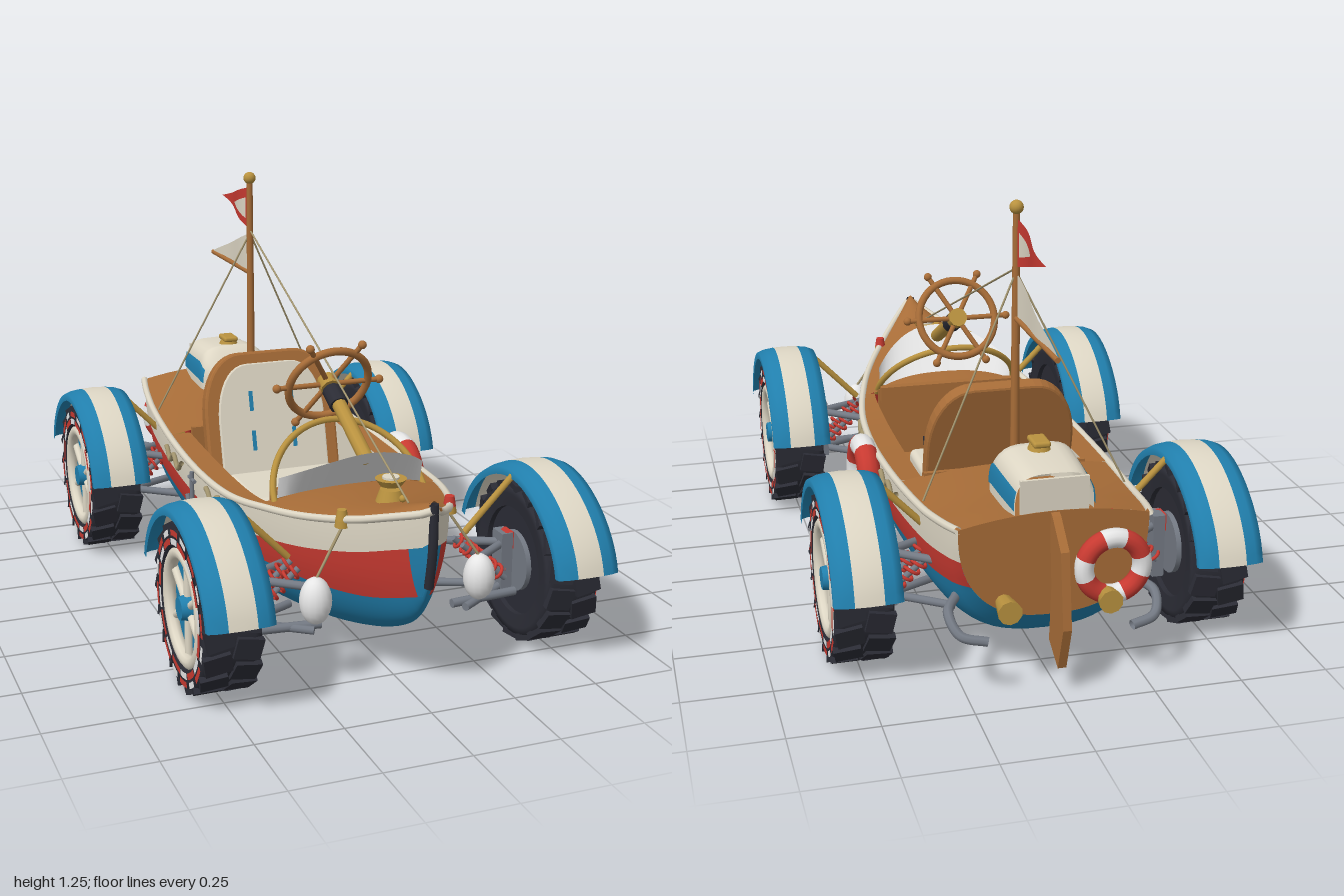
import * as THREE from 'three';
import { mergeGeometries } from 'three/addons/utils/BufferGeometryUtils.js';
import { RoundedBoxGeometry } from 'three/addons/geometries/RoundedBoxGeometry.js';

const mat = (name, color) => Object.assign(new THREE.MeshStandardMaterial({ color, side: THREE.DoubleSide }), { name });
const V = (x, y, z) => new THREE.Vector3(x, y, z);

export function createModel() {
  const root = new THREE.Group();
  root.name = 'boatCar';
  const wood = mat('wood', 0xa86d38), cream = mat('cream', 0xded7c5), blue = mat('blue', 0x2180ae), red = mat('red', 0xc83a31),
    dark = mat('rubber', 0x2b2c35), gold = mat('brass', 0xb9923f), steel = mat('steel', 0x747a84), white = mat('white', 0xe6e6e6),
    rope = mat('rope', 0xa2946e);

  const add = (name, geo, m, pos = [0, 0, 0], parent = root) => {
    const mesh = new THREE.Mesh(geo, m);
    mesh.name = name;
    mesh.position.set(...pos);
    parent.add(mesh);
    return mesh;
  };
  const rod = (name, m, a, b, r = 0.01, parent = root, r2 = r) => {
    const A = V(...a), B = V(...b), d = B.clone().sub(A);
    const mesh = add(name, new THREE.CylinderGeometry(r2, r, d.length(), 10), m, A.clone().add(B).multiplyScalar(0.5).toArray(), parent);
    mesh.quaternion.setFromUnitVectors(V(0, 1, 0), d.normalize());
    return mesh;
  };
  const tube = (name, m, pts, r = 0.01, seg = 32) =>
    add(name, new THREE.TubeGeometry(new THREE.CatmullRomCurve3(pts.map(p => V(...p))), seg, r, 8), m);
  const cyl = (r1, r2, h, n = 20) => new THREE.CylinderGeometry(r1, r2, h, n);
  const box = (x, y, z) => new THREE.BoxGeometry(x, y, z);
  const ball = r => new THREE.SphereGeometry(r, 16, 12);
  // Surface from a rule over two parameters from 0 to 1
  const grid = (nu, nv, fn) => {
    const pos = [], idx = [];
    for (let i = 0; i <= nu; i++) for (let j = 0; j <= nv; j++) {
      pos.push(...fn(i / nu, j / nv));
      if (i < nu && j < nv) {
        const a = i * (nv + 1) + j, b = a + nv + 1;
        idx.push(a, b, a + 1, b, b + 1, a + 1);
      }
    }
    const g = new THREE.BufferGeometry();
    g.setAttribute('position', new THREE.Float32BufferAttribute(pos, 3));
    g.setIndex(idx);
    g.computeVertexNormals();
    return g;
  };

  // Hull stations: z, half width, sheer height, keel height, fullness
  const stations = [[-.87, .265, .47, .2, 2.5], [-.78, .283, .455, .115, 2.7], [-.6, .305, .43, .075, 2.8], [-.3, .325, .41, .06, 2.8],
    [0, .33, .4, .06, 2.8], [.25, .315, .405, .06, 2.7], [.45, .275, .43, .075, 2.5], [.62, .22, .455, .105, 2.3], [.78, .145, .49, .16, 2.1],
    [.9, .075, .53, .24, 1.8], [.97, .03, .555, .36, 1.5], [.995, .008, .57, .48, 1.2]];
  const spline = f => new THREE.CatmullRomCurve3(stations.map(f), false, 'catmullrom', 0.5);
  const sheerLine = spline(s => V(s[0], s[1], s[2])), keelLine = spline(s => V(s[3], s[4], 0));
  const at = u => {
    const a = sheerLine.getPoint(u), b = keelLine.getPoint(u);
    return { z: a.x, w: a.y, s: a.z, k: b.x, p: b.y };
  };
  const atZ = z => {
    let lo = 0, hi = 1;
    for (let i = 0; i < 24; i++) { const m = (lo + hi) / 2; if (sheerLine.getPoint(m).x < z) lo = m; else hi = m; }
    return at(hi);
  };
  const skin = (h, t) => [h.w * Math.pow(1 - Math.pow(1 - Math.min(t, 1), h.p), 1 / h.p), h.k + (h.s - h.k) * t, h.z];
  // The red stripe deepens towards the bow
  const levels = h => {
    const f = d => (h.s - d - h.k) / (h.s - h.k);
    return [0, Math.max(f(.168 + .065 * THREE.MathUtils.smoothstep(h.z, .35, .9)), .03), Math.max(f(.093), .06), 1];
  };
  const deckY = (h, x) => h.s + .03 * (1 - (x / h.w) ** 2);
  const bands = [['hullBottom', blue, 12, 0, -.87, .995], ['hullStripe', red, 4, 1, -.87, .935],
    ['bowPatch', blue, 4, 1, .935, .995], ['hullTop', cream, 4, 2, -.87, .995]];

  for (const side of [1, -1]) {
    for (const [name, m, n, i, z0, z1] of bands)
      add(name, grid(70, n, (u, v) => {
        const h = atZ(z0 + (z1 - z0) * (side > 0 ? 1 - u : u)), l = levels(h);
        const p = skin(h, l[i] + (l[i + 1] - l[i]) * (i ? v : v * v));
        return [p[0] * side, p[1], p[2]];
      }), m);
    // Gunwale, side decks and cockpit lining
    tube('gunwale', cream, Array.from({ length: 25 }, (_, i) => { const h = at(i / 24); return [side * h.w, h.s, h.z]; }), .011, 60);
    const inner = h => Math.min(.25, h.w - .04);
    const strip = f => grid(20, 1, (u, v) => f(atZ(-.36 + .76 * u), v));
    add('sideDeck', strip((h, v) => [side * (inner(h) + (h.w - inner(h)) * v), h.s + .004, h.z]), wood);
    add('cockpitLining', strip((h, v) => [side * inner(h), .2 + (h.s - .196) * v, h.z]), cream);
    // Rope swags and porthole
    for (const z0 of [.28, -.17])
      tube('ropeSwag', rope, Array.from({ length: 13 }, (_, i) => {
        const z = z0 - i * .0165;
        return [side * (atZ(z).w + .008), .362 + .016 * Math.cos(i * 1.05), z];
      }), .008);
    const port = add('porthole', new THREE.TorusGeometry(.03, .009, 8, 24), gold, [side * .298, .28, .36]);
    port.rotation.y = Math.PI / 2;
    rod('portholeGlass', white, [side * .28, .28, .36], [side * .302, .28, .36], .027);
  }
  const deck = (name, z0, z1) => add(name, grid(24, 10, (u, v) => {
    const h = atZ(z0 + (z1 - z0) * u), x = h.w * (v * 2 - 1);
    return [x, deckY(h, x), h.z];
  }), wood);
  deck('foreDeck', .4, .985);
  deck('rearDeck', -.87, -.36);
  const stern = at(0), edge = Array.from({ length: 17 }, (_, i) => skin(stern, (i / 16) ** 2));
  add('transom', new THREE.ShapeGeometry(new THREE.Shape([...edge, ...edge.map(p => [-p[0], p[1]]).reverse()].map(p => new THREE.Vector2(p[0], p[1])))), wood, [0, 0, -.87]);
  add('transomTop', grid(12, 1, (u, v) => { const x = stern.w * (2 * u - 1); return [x, stern.s + (deckY(stern, x) - stern.s) * v, -.87]; }), wood);
  tube('stem', dark, [[0, .345, .965], [0, .46, .984], [0, .585, .986]], .0135);

  // Cockpit
  add('cockpitFloor', box(.49, .02, .76), wood, [0, .2, .02]);
  add('frontBulkhead', box(.47, .24, .015), wood, [0, .32, .4]);
  add('rearBulkhead', box(.49, .23, .015), wood, [0, .32, -.36]);
  add('dashboard', box(.46, .05, .03), wood, [0, .43, .38]);
  for (const x of [-.07, .07]) add('pedal', box(.045, .06, .012), dark, [x, .25, .34]).rotation.x = .5;
  add('seatCushion', new RoundedBoxGeometry(.38, .12, .28, 3, .02), cream, [0, .27, -.02]);
  add('seatBase', box(.4, .08, .33), wood, [0, .24, -.06]);
  const back = new THREE.Group();
  back.name = 'seatBack';
  back.position.set(0, .25, -.2);
  back.rotation.x = -.25;
  root.add(back);
  const backShape = (w, y0, h) => {
    const s = new THREE.Shape();
    s.moveTo(-w, y0);
    s.lineTo(w, y0);
    s.lineTo(w, h * .55);
    s.bezierCurveTo(w, h * .82, w * .75, h, w * .42, h);
    s.lineTo(-w * .42, h);
    s.bezierCurveTo(-w * .75, h, -w, h * .82, -w, h * .55);
    return s;
  };
  const slab = (s, depth, b) => new THREE.ExtrudeGeometry(s, { depth, bevelEnabled: true, bevelSize: b, bevelThickness: b, bevelSegments: 2, curveSegments: 10 });
  add('backPanel', slab(backShape(.217, 0, .442), .03, .008), wood, [0, 0, -.04], back);
  add('backPad', slab(backShape(.178, .03, .408), .008, .004), cream, [0, 0, -.004], back);
  for (const x of [-.07, .07]) for (const y of [.16, .29]) add('seatStitch', box(.012, .065, .006), blue, [x, y, .01], back);

  // Bowed windscreen and brass hoop
  add('windscreen', grid(24, 1, (u, v) => {
    const x = 2 * u - 1, q = 1 - Math.abs(x) ** 2.5;
    return [.225 * x, v ? .505 + .095 * (1 - x * x) : .44 + .03 * q, v ? .43 + .147 * q : .415 + .035 * q];
  }), white);
  tube('brassHoop', gold, Array.from({ length: 15 }, (_, i) => {
    const a = Math.PI * i / 14, q = Math.sin(a);
    return [.235 * Math.cos(a), .42 + .19 * q, .43 - .17 * q];
  }), .01, 48);

  // Steering
  rod('steeringColumn', gold, [0, .57, .54], [0, .7, .28], .022);
  rod('steeringCollar', dark, [0, .672, .33], [0, .702, .27], .029);
  const helm = new THREE.Group();
  helm.name = 'helm';
  helm.position.set(0, .715, .245);
  helm.quaternion.setFromUnitVectors(V(0, 0, 1), V(0, .44, -.9).normalize());
  root.add(helm);
  add('helmRim', new THREE.TorusGeometry(.125, .012, 10, 40), wood, [0, 0, 0], helm);
  rod('helmHub', gold, [0, 0, -.02], [0, 0, .02], .03, helm);
  for (let i = 0; i < 6; i++) {
    const c = Math.cos(i * Math.PI / 3), s = Math.sin(i * Math.PI / 3);
    rod('helmSpoke', wood, [.02 * c, .02 * s, 0], [.163 * c, .163 * s, 0], .008, helm);
    add('helmHandle', ball(.013), wood, [.163 * c, .163 * s, 0], helm);
  }

  // Mast, stays, pennant and sail
  rod('mast', wood, [0, .42, -.465], [0, 1.22, -.465], .014, root, .01);
  add('mastBall', ball(.02), gold, [0, 1.232, -.465]);
  add('mastFoot', cyl(.03, .035, .03), gold, [0, .465, -.465]);
  rod('foreStay', rope, [0, 1.06, -.465], [0, .535, .83], .003);
  for (const s of [1, -1]) rod('sideStay', rope, [0, 1.05, -.465], [.295 * s, .44, -.58], .003);
  const flag = (name, m, x, z0, top, bottom, z1, tip, wave) => add(name, grid(16, 2, (u, v) => {
    const z = z0 + (z1 - z0) * u, y = top + (bottom - top) * v;
    return [x + wave * Math.sin((z + .47) * 22), y + (tip - y) * u, z];
  }), m);
  flag('pennant', red, 0, -.475, 1.2, 1.065, -.755, 1.135, .008);
  for (const s of [1, -1]) flag('pennantPatch', cream, .003 * s, -.49, 1.165, 1.095, -.62, 1.13, .008);
  flag('sail', cream, 0, -.48, 1.045, .92, -.87, .92, .003);
  rod('boom', wood, [0, .916, -.465], [0, .916, -.87], .008);

  // Engine pod, domed and tapered to the stern, with blue flanks
  const pod = (name, m, z0, z1, a0, a1, grow) => add(name, grid(16, 16, (u, v) => {
    const z = z0 + (z1 - z0) * u, f = (-.58 - z) / .285, a = Math.PI * (a0 + (a1 - a0) * v);
    const rise = Math.min(1, Math.pow(Math.max(f, 0) * 3.2, .5)) * (1 - .12 * f * f);
    const sq = t => Math.sign(t) * Math.pow(Math.abs(t), .55);
    return [(.122 - .012 * f * f) * Math.min(1, .6 + 2 * f) * sq(Math.cos(a)) + grow * Math.sign(Math.cos(a)), .48 + .142 * rise * sq(Math.sin(a)), z];
  }), m);
  pod('podShell', cream, -.58, -.865, 0, 1, 0);
  pod('podFlankLeft', blue, -.63, -.866, .02, .15, .003);
  pod('podFlankRight', blue, -.63, -.866, .85, .98, .003);
  add('podEnd', box(.19, .12, .01), cream, [0, .53, -.862]);
  add('podNeck', cyl(.025, .035, .025), gold, [0, .622, -.71]);
  add('podCap', new RoundedBoxGeometry(.05, .018, .075, 2, .008), gold, [0, .638, -.71]);

  // Rudder and stern fittings
  const rudder = new THREE.Shape([[.86, .5], [.885, .49], [.965, .42], [.998, .21], [.955, .08], [.87, .125], [.885, .29]].map(p => new THREE.Vector2(...p)));
  add('rudder', new THREE.ExtrudeGeometry(rudder, { depth: .024, bevelEnabled: false }), wood, [-.012, 0, 0]).rotation.y = Math.PI / 2;
  for (const s of [1, -1]) {
    rod('sternHorn', gold, [.14 * s, .25, -.86], [.14 * s, .25, -.94], .022, root, .034);
    tube('exhaust', steel, [[.25 * s, .24, -.78], [.29 * s, .23, -.86], [.27 * s, .19, -.92], [.2 * s, .175, -.94]], .014);
  }
  const lifeRing = (R, r, pos, ry) => {
    const g = new THREE.Group();
    g.name = 'lifeRing';
    g.position.set(...pos);
    g.rotation.y = ry;
    root.add(g);
    for (let i = 0; i < 8; i++) add('ringPart', new THREE.TorusGeometry(R, r, 12, 8, Math.PI * (i % 2 ? .22 : .28)), i % 2 ? white : red, [0, 0, 0], g)
      .rotation.z = Math.PI * (Math.floor(i / 2) * .5 + (i % 2 ? .28 : 0) + .11);
  };
  lifeRing(.11, .036, [.365, .297, -.037], Math.PI / 2);
  lifeRing(.082, .027, [-.16, .33, -.887], 0);

  // Anchor on the hull side
  rod('anchorShank', steel, [-.337, .26, -.06], [-.337, .385, -.06], .007);
  rod('anchorStock', steel, [-.337, .36, -.09], [-.337, .36, -.03], .006);
  tube('anchorArms', steel, [[-.337, .295, -.11], [-.337, .265, -.09], [-.337, .257, -.06], [-.337, .265, -.03], [-.337, .295, -.01]], .008);

  // Bow fittings
  add('capstanBase', cyl(.03, .042, .035), gold, [0, .52, .71]);
  add('capstanTop', cyl(.044, .03, .02), gold, [0, .558, .71]);
  add('capstanCap', cyl(.024, .024, .008), cream, [0, .57, .71]);
  add('deckEye', ball(.01), gold, [0, .535, .79]);
  for (const s of [1, -1]) {
    add('bowLampBase', cyl(.018, .02, .02), gold, [.16 * s, .472, .75]);
    add('bowLamp', cyl(.013, .018, .03), s > 0 ? red : gold, [.16 * s, .496, .75]);
    add('buoy', ball(.045), white, [.245 * s, .27, .775]).scale.y = 1.5;
    rod('buoyRope', rope, [.245 * s, .33, .775], [.16 * s, .46, .75], .004);
    rod('frontBar', steel, [.2 * s, .165, .7], [.41 * s, .165, .68], .013);
  }

  // Wheels, fenders and suspension
  const P = (x, y) => new THREE.Vector2(x, y);
  const half = [[.16, -.075], [.2, -.08], [.218, -.08], [.226, -.06]];
  const tyreGeo = new THREE.LatheGeometry([...half, ...half.slice().reverse().map(p => [p[0], -p[1]]), half[0]].map(p => P(...p)), 40);
  const lugs = [];
  for (let i = 0; i < 36; i++) {
    const lug = box(.02, .076, .062), row = i % 2 ? 1 : -1;
    lug.rotateX(row * .2);
    lug.translate(.225, row * .041, 0);
    lugs.push(lug.rotateY(i * Math.PI / 18));
  }
  const lugGeo = mergeGeometries(lugs);
  // Ring of n dashes, each filling a share of its pitch
  const dashes = (r0, r1, n, share, start) => mergeGeometries(Array.from({ length: n }, (_, i) =>
    new THREE.RingGeometry(r0, r1, 4, 1, (i + start) * 2 * Math.PI / n, share * 2 * Math.PI / n).rotateX(-Math.PI / 2)));
  const rings = [[dashes(.2, .217, 8, .4, 0), red], [dashes(.2, .217, 8, .3, .55), white],
    [dashes(.175, .193, 8, .5, .5), red], [dashes(.175, .193, 8, .4, .05), white]];
  const fenderBand = (zc, s, pts) => grid(32, pts.length - 1, (u, v) => {
    const a = THREE.MathUtils.degToRad(10 + 160 * u), [x, dr] = pts[Math.round(v * (pts.length - 1))];
    const r = .292 + .03 * Math.cos(a) ** 4 + dr;
    return [s * (.505 + x), .236 + r * Math.sin(a), zc + r * Math.cos(a)];
  });
  for (const zc of [.627, -.58]) for (const s of [1, -1]) {
    const wheel = new THREE.Group();
    wheel.name = 'wheel';
    wheel.position.set(.503 * s, .238, zc);
    wheel.rotation.z = -s * Math.PI / 2;
    root.add(wheel);
    add('tyre', tyreGeo, dark, [0, 0, 0], wheel);
    add('treadLugs', lugGeo, dark, [0, 0, 0], wheel);
    rings.forEach(([g, m]) => add('sidewallDashes', g, m, [0, .083, 0], wheel));
    add('rim', new THREE.TorusGeometry(.152, .019, 10, 36).rotateX(Math.PI / 2), cream, [0, .064, 0], wheel);
    add('rimDisc', cyl(.145, .145, .02, 32), blue, [0, .038, 0], wheel);
    add('innerDrum', cyl(.16, .16, .08, 28), dark, [0, -.02, 0], wheel);
    add('brake', cyl(.09, .09, .02, 24), steel, [0, -.065, 0], wheel);
    add('hub', cyl(.032, .04, .045), blue, [0, .06, 0], wheel);
    for (let i = 0; i < 6; i++) {
      const a = i * Math.PI / 3, c = Math.cos(a), q = Math.sin(a);
      rod('spoke', cream, [.03 * c, .055, .03 * q], [.14 * c, .055, .14 * q], .012, wheel);
    }
    const lip = [[.093, -.035], [.093, -.013], [.07, -.004], [.04, 0]];
    add('fenderOuter', fenderBand(zc, s, lip), blue);
    add('fenderStripe', fenderBand(zc, s, [[.04, 0], [0, .002], [-.04, 0]]), cream);
    add('fenderInner', fenderBand(zc, s, lip.map(p => [-p[0], p[1]])), blue);
    rod('fenderBracket', gold, [.42 * s, .5, zc], [.27 * s, .345, zc], .01);
    add('upright', box(.035, .19, .06), steel, [.395 * s, .24, zc]);
    add('uprightCap', box(.025, .05, .05), red, [.405 * s, .31, zc]);
    for (const d of [-.1, .1]) {
      rod('upperArm', steel, [.24 * s, .29, zc + d], [.4 * s, .3, zc], .012);
      rod('lowerArm', steel, [.23 * s, .16, zc + d], [.4 * s, .17, zc], .012);
    }
    for (const d of [-.03, .03]) {
      rod('damper', steel, [.25 * s, .32, zc + d], [.39 * s, .2, zc + d], .009);
      tube('spring', red, Array.from({ length: 49 }, (_, i) => {
        const t = i / 48, a = t * Math.PI * 12;
        return [s * (.26 + .12 * t + .014 * Math.cos(a)), .315 - .105 * t + .014 * Math.cos(a), zc + d + .02 * Math.sin(a)];
      }), .005, 96);
    }
  }
  return root;
}
